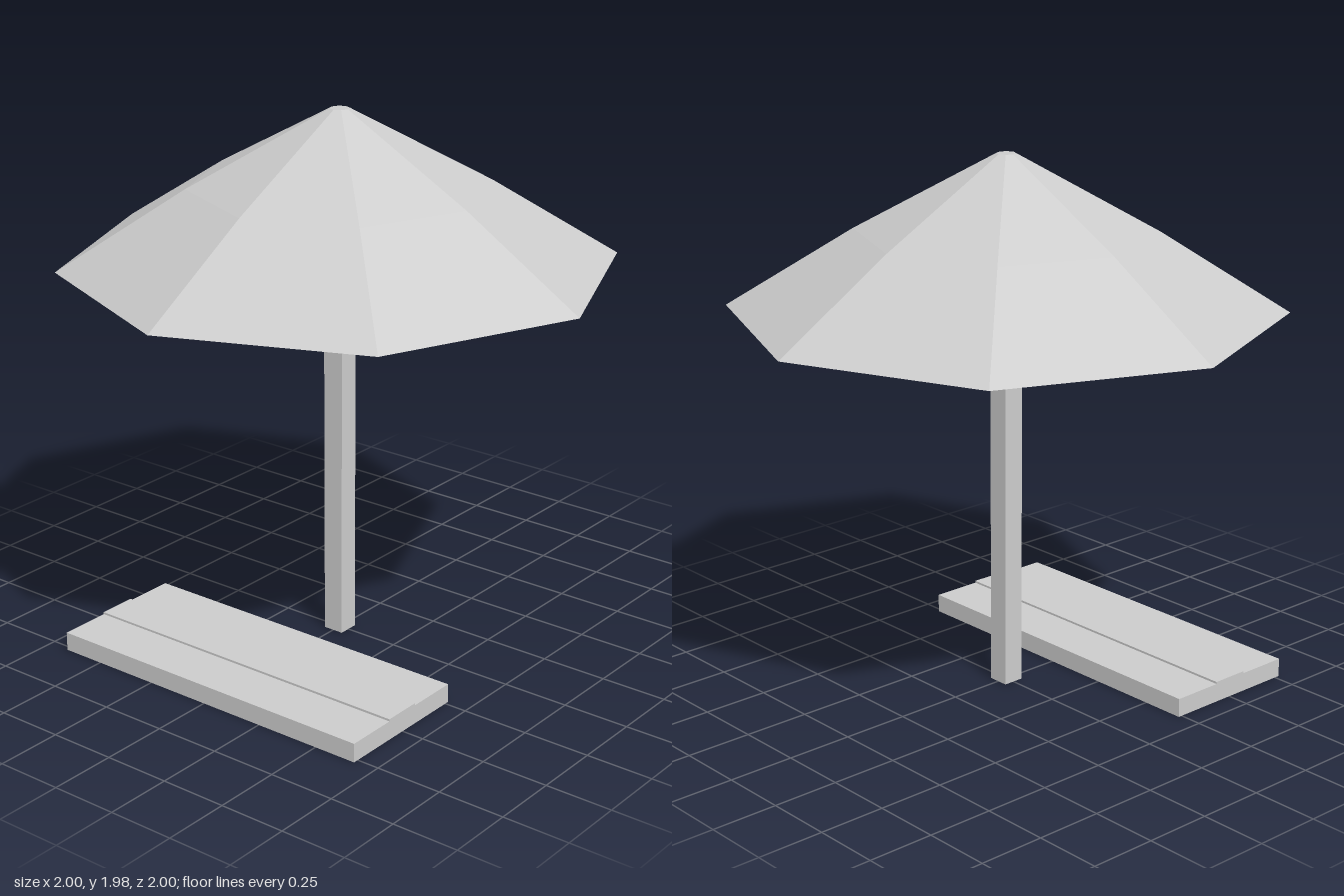
import * as THREE from 'three';

export function createModel() {
  const model = new THREE.Group();
  model.name = 'parasolWithBench';

  const grey = new THREE.MeshStandardMaterial({ color: 0xcccccc, flatShading: true });
  grey.name = 'light grey';

  const add = (name, geometry, parent = model) => {
    const mesh = new THREE.Mesh(geometry, grey);
    mesh.name = name;
    parent.add(mesh);
    return mesh;
  };
  // Box given by its extents in y and z, centred on x
  const slab = (width, y0, y1, z0, z1) =>
    new THREE.BoxGeometry(width, y1 - y0, z1 - z0).translate(0, (y0 + y1) / 2, (z0 + z1) / 2);

  // Eight-sided canopy: flat underside, two slopes, small flat tip
  const profile = [[0, 1.425], [1, 1.425], [0.54, 1.71], [0.035, 1.982], [0, 1.982]]
    .map(([r, y]) => new THREE.Vector2(r, y));
  add('canopy', new THREE.LatheGeometry(profile, 8));

  // Square pole
  add('pole', slab(0.08, 0, 1.43, -0.04, 0.04));

  // Low bench in front of the pole, with a slightly raised middle board
  const bench = new THREE.Group();
  bench.name = 'bench';
  model.add(bench);
  add('benchBase', slab(1.33, 0, 0.07, 0.235, 0.77), bench);
  add('benchMiddleBoard', slab(1.33, 0.07, 0.078, 0.43, 0.575), bench);

  return model;
}
